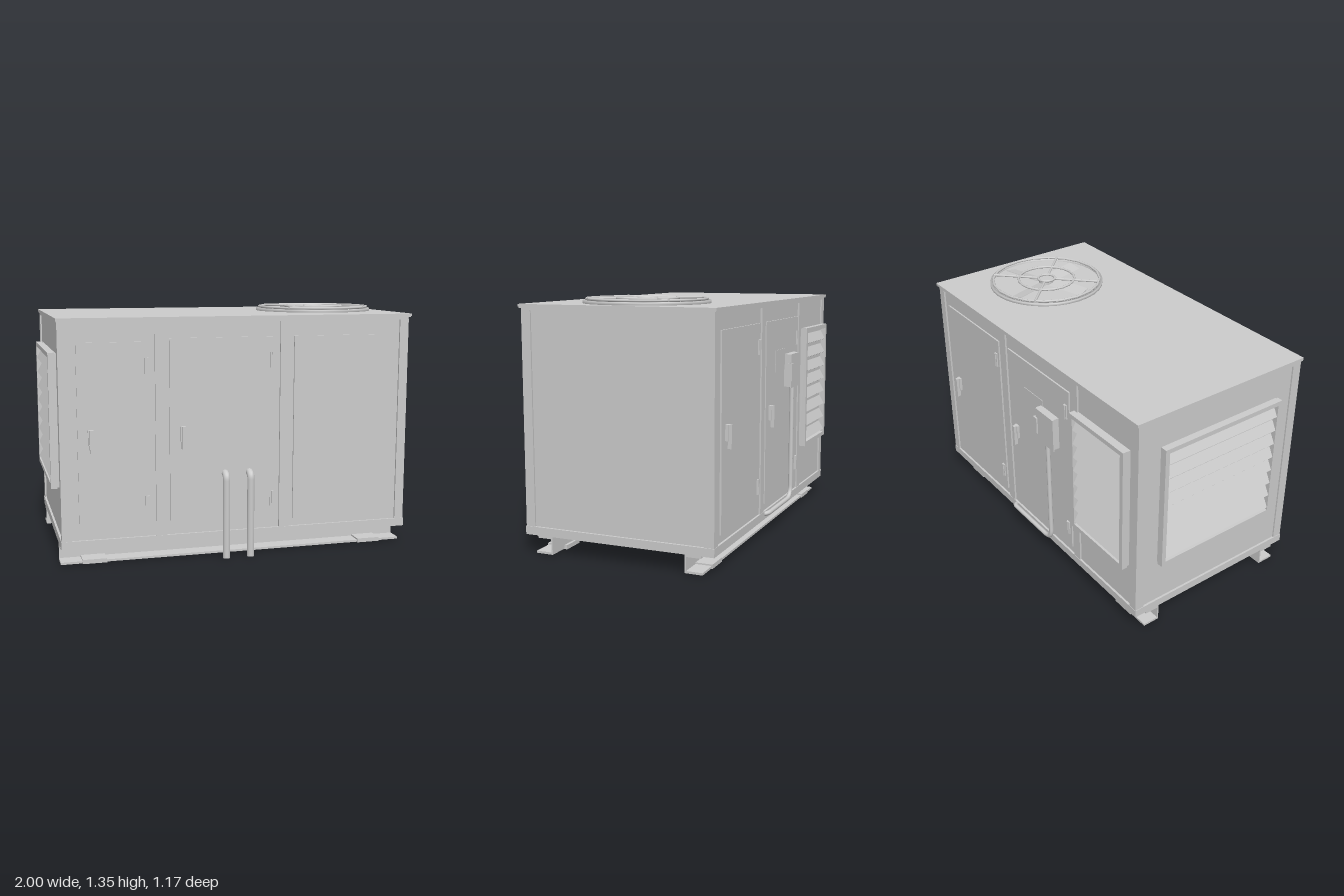
import * as THREE from 'three';

const mat = new THREE.MeshStandardMaterial({ color: 0xcccccc });
const thin = new THREE.MeshStandardMaterial({ color: 0xcccccc, side: THREE.DoubleSide });

function add(parent, name, geo, material = mat) {
  const m = new THREE.Mesh(geo, material);
  m.name = name;
  parent.add(m);
  return m;
}

// Box given by its extents
function box(parent, name, x0, x1, y0, y1, z0, z1) {
  const m = add(parent, name, new THREE.BoxGeometry(x1 - x0, y1 - y0, z1 - z0));
  m.position.set((x0 + x1) / 2, (y0 + y1) / 2, (z0 + z1) / 2);
  return m;
}

function group(parent, name) {
  const g = new THREE.Group();
  g.name = name;
  parent.add(g);
  return g;
}

// Pipe along straight runs with rounded corners
function pipe(parent, name, pts, radius, bend) {
  const v = pts.map(p => new THREE.Vector3(...p));
  const path = new THREE.CurvePath();
  let from = v[0];
  for (let i = 1; i < v.length - 1; i++) {
    const r = Math.min(bend, v[i].distanceTo(v[i - 1]) * 0.8, v[i].distanceTo(v[i + 1]) * 0.8);
    const a = v[i].clone().add(v[i - 1].clone().sub(v[i]).setLength(r));
    const b = v[i].clone().add(v[i + 1].clone().sub(v[i]).setLength(r));
    path.add(new THREE.LineCurve3(from, a));
    path.add(new THREE.QuadraticBezierCurve3(a, v[i], b));
    from = b;
  }
  path.add(new THREE.LineCurve3(from, v[v.length - 1]));
  return add(parent, name, new THREE.TubeGeometry(path, 90, radius, 12), thin);
}

// Framed louvre facing local +z, back on z = 0
function louvre(parent, name, w, h) {
  const g = group(parent, name), f = 0.025, d = 0.034, n = 8;
  for (const s of [-1, 1]) {
    box(g, 'louvreStile', s * (w / 2 - f / 2) - f / 2, s * (w / 2 - f / 2) + f / 2, -h / 2, h / 2, 0, d);
    box(g, 'louvreRail', -w / 2 + f, w / 2 - f, s * (h / 2 - f / 2) - f / 2, s * (h / 2 - f / 2) + f / 2, 0, d);
  }
  const pitch = (h - 2 * f) / n;
  for (let i = 0; i < n; i++) {
    const slat = add(g, 'louvreSlat', new THREE.BoxGeometry(w - 2 * f, 0.062, 0.004));
    slat.position.set(0, -h / 2 + f + pitch * (i + 0.5), 0.015);
    slat.rotation.x = -0.5;
  }
  return g;
}

const Z = 0.537, TOP = 1.297;

// Door leaf, optional hinges and handle; s = 1 front, -1 back
function door(parent, s, [x0, x1, y0, y1], hingeX, handleX) {
  const g = group(parent, s > 0 ? 'frontDoor' : 'backDoor');
  const out = (name, a, b, c, d, z0, z1) =>
    box(g, name, a, b, c, d, Math.min(s * z0, s * z1), Math.max(s * z0, s * z1));
  out('doorLeaf', x0, x1, y0, y1, 0.52, 0.534);
  if (hingeX !== undefined)
    for (const y of [y0 + 0.126, y1 - 0.126]) {
      out('hingePlate', hingeX - 0.012, hingeX + 0.012, y - 0.042, y + 0.042, 0.53, 0.541);
      out('hingePin', hingeX - 0.004, hingeX + 0.006, y - 0.042, y + 0.042, 0.54, 0.546);
    }
  if (handleX !== undefined) {
    out('handlePlate', handleX - 0.016, handleX + 0.016, 0.655, 0.737, 0.53, 0.55);
    out('handleGrip', handleX - 0.009, handleX + 0.009, 0.615, 0.737, 0.545, 0.566);
  }
}

export function createModel() {
  const root = new THREE.Group();
  root.name = 'rooftopUnit';

  // Cabinet core, base rail and roof
  const cab = group(root, 'cabinet');
  box(cab, 'cabinetCore', -0.955, 0.977, 0.105, TOP, -0.525, 0.525);
  box(cab, 'baseRail', -0.967, 0.99, 0.1, 0.145, -Z, Z);
  box(cab, 'topRail', -0.964, 0.985, 1.285, TOP, -0.535, 0.535);
  box(cab, 'roofLip', -0.968, 0.996, TOP, 1.305, -0.543, 0.543);
  box(cab, 'roof', -0.97, 1.0, 1.303, 1.317, -0.547, 0.545);

  // Corner and intermediate posts on both long sides
  for (const s of [-1, 1])
    for (const [a, b] of [[-0.964, -0.912], [-0.457, -0.4], [0.235, 0.293], [0.935, 0.986]])
      box(cab, 'post', a, b, 0.14, 1.29, s * 0.5085 - 0.0265, s * 0.5085 + 0.0265);

  // Doors
  const low = 0.187, high = 1.205;
  door(root, 1, [-0.87, -0.478, 0.2, 1.19], -0.503, -0.8);
  door(root, 1, [-0.38, 0.215, low, high], 0.19, -0.31);
  door(root, 1, [0.315, 0.89, low, high]);
  door(root, -1, [-0.38, 0.215, low, high], -0.352, 0.15);
  door(root, -1, [0.315, 0.89, low, high], 0.343, 0.825);

  // Louvres on the back and on the end
  const back = louvre(root, 'backLouvre', 0.455, 0.73);
  back.position.set(-0.666, 0.765, -0.54);
  back.rotation.y = Math.PI;
  box(root, 'backLouvreBacking', -0.89, -0.44, 0.405, 1.125, -0.542, -0.52);
  const end = louvre(root, 'endLouvre', 0.78, 0.73);
  end.position.set(-0.966, 0.765, -0.005);
  end.rotation.y = -Math.PI / 2;
  box(root, 'endLouvreBacking', -0.968, -0.95, 0.405, 1.125, -0.39, 0.38);

  // Skid channels with foot pads, joined by cross beams
  for (const s of [-1, 1]) {
    const skid = group(root, 'skid');
    const rail = (name, x0, x1, y0, y1, a, b) =>
      box(skid, name, x0, x1, y0, y1, Math.min(s * a, s * b), Math.max(s * a, s * b));
    rail('skidWeb', -0.967, 0.987, 0.003, 0.098, 0.378, 0.386);
    rail('skidTopFlange', -0.967, 0.987, 0.087, 0.1, 0.378, 0.465);
    rail('skidBottomFlange', -0.967, 0.987, 0.003, 0.015, 0.378, 0.475);
    for (const x of [-0.785, 0.8]) rail('footPad', x - 0.066, x + 0.066, 0, 0.023, 0.362, 0.48);
  }
  for (const x of [-0.65, 0.01, 0.67])
    box(root, 'crossBeam', x - 0.03, x + 0.03, 0.052, 0.102, -0.38, 0.38);

  // Supply pipes at the front
  for (const x of [-0.075, 0.062])
    pipe(root, 'supplyPipe', [[x, 0, 0.564], [x, 0.468, 0.564], [x, 0.468, 0.52]], 0.02, 0.035);

  // Isolator box with lever, plate and conduit at the back
  const iso = group(root, 'isolator');
  box(iso, 'isolatorBox', -0.28, -0.115, 0.81, 1.0, -0.57, -0.53);
  box(iso, 'isolatorCover', -0.285, -0.12, 0.803, 1.0, -0.576, -0.568);
  box(iso, 'isolatorLever', -0.137, -0.105, 0.845, 0.945, -0.585, -0.558);
  box(iso, 'doorPlate', -0.13, 0.055, 0.91, 1.035, -0.537, -0.53);
  pipe(iso, 'conduit', [[-0.2, 0.82, -0.556], [-0.2, 0.135, -0.556], [0.215, 0.135, -0.556],
    [0.215, 0.125, -0.52]], 0.013, 0.07);

  // Fan: collar, blades, hub and wire guard
  const fan = group(root, 'fan');
  fan.position.set(0.616, 0, -0.005);
  const ring = [[0.322, 1.31], [0.338, 1.31], [0.338, 1.333], [0.322, 1.333], [0.322, 1.31]];
  add(fan, 'fanCollar', new THREE.LatheGeometry(ring.map(p => new THREE.Vector2(...p)), 32), thin);
  const hub = add(fan, 'fanHub', new THREE.CylinderGeometry(0.045, 0.045, 0.025, 20));
  hub.position.y = 1.326;
  for (let i = 0; i < 4; i++) {
    const arm = group(fan, 'fanBlade');
    arm.rotation.y = 0.28 + i * Math.PI / 2;
    const blade = add(arm, 'blade', new THREE.BoxGeometry(0.24, 0.004, 0.1));
    blade.position.set(0.16, 1.322, 0);
    blade.rotation.x = 0.24;
  }
  const guard = group(fan, 'fanGuard');
  for (const [r, y] of [[0.32, 1.34], [0.168, 1.343], [0.05, 1.344]]) {
    const wire = add(guard, 'guardRing', new THREE.TorusGeometry(r, 0.007, 8, 20));
    wire.rotation.x = Math.PI / 2;
    wire.position.y = y;
  }
  for (let i = 0; i < 4; i++) {
    const arm = group(guard, 'guardSpoke');
    arm.rotation.y = Math.PI / 4 + i * Math.PI / 2;
    const spoke = add(arm, 'spoke', new THREE.CylinderGeometry(0.007, 0.007, 0.275, 8));
    spoke.rotation.z = Math.PI / 2;
    spoke.position.set(0.185, 1.342, 0);
  }
  return root;
}
